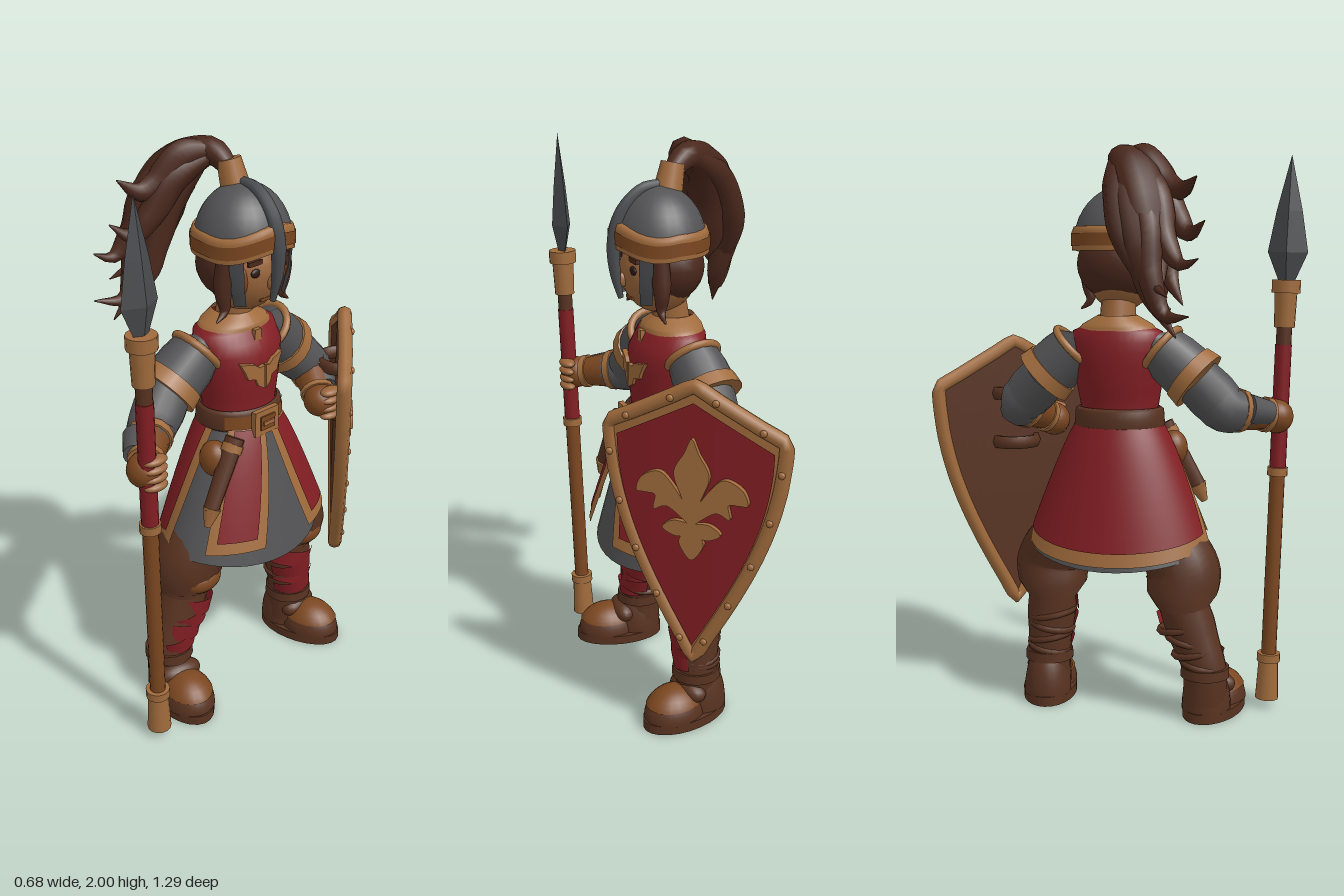
import * as THREE from 'three';

const M = {};
for (const [name, hex] of Object.entries({
  redCloth: 0x821e23, goldTrim: 0xa06b3c, greyCloth: 0x535355, steel: 0x494b4e, hairBrown: 0x4a281c,
  leather: 0x573220, tanLeather: 0x7b4720, skin: 0x9a653a, darkEye: 0x2a1a15,
})) M[name] = Object.assign(new THREE.MeshStandardMaterial({ color: hex, side: THREE.DoubleSide }), { name });

const V = (p) => new THREE.Vector3(...p);
const lerp = THREE.MathUtils.lerp;
const mix = (a, b, t) => a.map((q, i) => lerp(q, b[i], t));
const FULL = Math.PI * 2;

// grid surface from a rule of u and v
function surf(fn, nu, nv) {
  const pos = [], idx = [], w = nu + 1;
  for (let j = 0; j <= nv; j++) for (let i = 0; i <= nu; i++) pos.push(...fn(i / nu, j / nv));
  for (let j = 0; j < nv; j++) for (let i = 0; i < nu; i++) {
    const a = j * w + i;
    idx.push(a, a + 1, a + w + 1, a, a + w + 1, a + w);
  }
  const g = new THREE.BufferGeometry();
  g.setAttribute('position', new THREE.Float32BufferAttribute(pos, 3));
  g.setIndex(idx);
  g.computeVertexNormals();
  return g;
}

export function createModel() {
  const model = new THREE.Group(), body = new THREE.Group();
  body.name = 'guard'; // built facing +z, then turned towards +x
  body.rotation.y = Math.PI / 2;
  model.add(body);

  const add = (name, geo, mat, parent = body, p = [0, 0, 0], s = [1, 1, 1], r = [0, 0, 0]) => {
    const m = new THREE.Mesh(geo, mat);
    m.name = name;
    m.position.set(...p);
    m.scale.set(...s);
    m.rotation.set(...r);
    parent.add(m);
    return m;
  };
  const group = (name, p, r) => {
    const g = new THREE.Group();
    g.name = name;
    g.position.set(...p);
    g.rotation.set(...r);
    body.add(g);
    return g;
  };
  const ball = (name, p, s, mat, parent) => add(name, new THREE.SphereGeometry(1, 20, 14), mat, parent, p, s);
  const box = (name, p, s, mat) => add(name, new THREE.BoxGeometry(...s), mat, body, p);
  // straight round bar between two points
  const rod = (name, a, b, ra, rb, mat, seg = 14) => {
    const d = V(b).sub(V(a));
    add(name, new THREE.CylinderGeometry(rb, ra, d.length(), seg), mat, body, mix(a, b, .5))
      .quaternion.setFromUnitVectors(new THREE.Vector3(0, 1, 0), d.normalize());
  };
  // tube along points whose radius follows a list
  const limb = (name, pts, radii, mat, n = 20, s = 10) => {
    const c = new THREE.CatmullRomCurve3(pts.map(V));
    const g = new THREE.TubeGeometry(c, n, 1, s), P = g.attributes.position, v = new THREE.Vector3();
    for (let q = 0; q < P.count; q++) {
      const t = Math.floor(q / (s + 1)) / n, o = c.getPointAt(t), f = t * (radii.length - 1), k = Math.min(Math.floor(f), radii.length - 2);
      v.fromBufferAttribute(P, q).sub(o).multiplyScalar(lerp(radii[k], radii[k + 1], f - k)).add(o);
      P.setXYZ(q, v.x, v.y, v.z);
    }
    add(name, g, mat);
  };
  // loft of ellipse rows [y, rx, rz, cz] from bottom to top over an angle range
  const loft = (name, rows, mat, a0 = 0, a1 = FULL, wave = () => 0) => add(name, surf((u, v) => {
    const f = v * (rows.length - 1), k = Math.min(Math.floor(f), rows.length - 2);
    const [y, rx, rz, cz] = mix(rows[k], rows[k + 1], f - k), a = lerp(a0, a1, u);
    return [-.02 + rx * Math.sin(a), y + wave(a), cz + rz * Math.cos(a)];
  }, 36, (rows.length - 1) * 2), mat);

  // Torso, collar and belt
  loft('tunicTop', [[1.03, .145, .12, .03], [1.1, .138, .115, .03], [1.2, .155, .128, .025], [1.3, .172, .13, .02], [1.37, .16, .105, .005], [1.405, .08, .08, 0]], M.redCloth);
  loft('collar', [[1.375, .14, .104, .005], [1.393, .125, .1, .005], [1.425, .068, .072, 0]], M.goldTrim);
  box('collarPoint', [-.02, 1.35, .118], [.03, .06, .016], M.goldTrim);
  loft('belt', [[1.03, .15, .128, .03], [1.04, .162, .138, .03], [1.095, .158, .135, .03], [1.105, .145, .12, .03]], M.leather);
  loft('beltFront', [[1.045, .164, .14, .03], [1.09, .161, .138, .03]], M.tanLeather, -1, 1);
  box('buckle', [-.03, 1.062, .172], [.11, .09, .02], M.goldTrim);
  box('buckleInset', [-.03, 1.062, .184], [.065, .05, .008], M.tanLeather);
  box('bucklePin', [-.03, 1.062, .19], [.05, .014, .008], M.goldTrim);
  // winged ornament on the chest
  const wing = new THREE.Shape([[0, -.055], [.025, -.04], [.035, -.015], [.065, -.01], [.075, .015], [.095, .05], [.04, .04], [.02, .025], [0, .03]].map((p) => new THREE.Vector2(...p)));
  for (const s of [1, -1]) add('chestOrnament', new THREE.ExtrudeGeometry(wing, { depth: .018, bevelEnabled: false }), M.goldTrim, body, [-.025, 1.235, .15], [s, 1, 1], [0, s * .2, 0]);

  // Skirt: grey layer and trimmed red panels, longer at the back
  const skirt = (name, mat, [t0, t1, b0, b1], off, flare, u0, u1, v0, v1, drop) => add(name, surf((u, v) => {
    const h = lerp(v0, v1, v), f = Math.pow(1 - Math.min(h, 1), .85), k = lerp(u0, u1, u), o = off + flare * f;
    const a = lerp(lerp(b0, b1, k), lerp(t0, t1, k), h);
    return [-.02 + (.14 + .18 * f + o) * Math.sin(a), .64 + .41 * h - drop(a) * (1 - h), .035 + (.12 + .115 * f + o) * Math.cos(a)];
  }, 40, 10), mat);
  skirt('underSkirt', M.greyCloth, [0, FULL, 0, FULL], -.012, 0, 0, 1, -.1, 1, (a) => .04 * Math.cos(a) ** 2);
  for (const [name, ang, e, fl] of [['frontPanelLeft', [.06, .95, .32, 1.02], .17, .014], ['frontPanelRight', [-.95, -.06, -1.02, -.32], .17, .014], ['backPanel', [1.35, FULL - 1.35, 1.62, FULL - 1.62], .05, 0]]) {
    const drop = (a) => .065 * Math.max(0, -Math.cos(a));
    skirt(name + 'Trim', M.goldTrim, ang, .01, fl, 0, 1, 0, .98, drop);
    skirt(name, M.redCloth, ang, .016, fl, e, 1 - e, .1, .98, drop);
  }

  // Head and helmet
  rod('neck', [-.02, 1.36, 0], [-.02, 1.5, .02], .065, .06, M.skin);
  ball('face', [-.02, 1.585, .05], [.125, .148, .135], M.skin);
  ball('hairBack', [-.02, 1.6, .025], [.15, .13, .125], M.hairBrown);
  ball('nose', [-.02, 1.56, .185], [.016, .025, .02], M.skin);
  box('mouth', [-.02, 1.497, .157], [.05, .01, .008], M.tanLeather);
  for (const s of [-1, 1]) {
    ball('eye', [-.02 + s * .055, 1.6, .168], [.022, .015, .008], M.darkEye);
    box('eyebrow', [-.02 + s * .06, 1.635, .168], [.06, .016, .01], M.hairBrown);
    ball('cheekShade', [-.02 + s * .08, 1.575, .118], [.042, .06, .036], M.tanLeather);
    limb('sideLock', [[-.02 + s * .125, 1.64, .1], [-.02 + s * .135, 1.53, .1], [-.02 + s * .13, 1.47, .1], [-.02 + s * .165, 1.44, .1]], [.03, .034, .022, .003], M.hairBrown, 12, 8);
    loft('cheekGuard', [[1.49, .125, .145, .05], [1.56, .15, .158, .05], [1.68, .165, .165, .05]], M.steel, s * .75, s * 1.05);
  }
  const half = new THREE.SphereGeometry(1, 28, 10, 0, FULL, 0, Math.PI / 2), cap = new THREE.SphereGeometry(1, 20, 6, 0, FULL, 0, 1.1);
  add('helmetDome', half, M.greyCloth, body, [-.02, 1.67, .05], [.168, .195, .158]);
  const brow = (a) => .025 * Math.cos(2 * a) * Math.max(0, Math.cos(a));
  loft('helmetBand', [[1.645, .166, .158, .05], [1.647, .174, .166, .05], [1.71, .174, .166, .05], [1.728, .167, .159, .05], [1.73, .15, .142, .05]], M.goldTrim, 0, FULL, brow);
  loft('helmetBandInlay', [[1.662, .177, .169, .05], [1.705, .177, .169, .05]], M.tanLeather, 0, FULL, brow);
  limb('noseGuard', [[-.02, 1.862, .02], [-.02, 1.852, .11], [-.02, 1.78, .185], [-.02, 1.68, .212], [-.02, 1.58, .208], [-.02, 1.5, .19]], [.02, .022, .024, .026, .02, .01], M.steel, 24, 8);

  // Plume of hair
  rod('plumeHolder', [-.02, 1.83, .02], [-.03, 1.93, -.005], .05, .04, M.goldTrim);
  limb('plumeBase', [[-.03, 1.9, 0], [-.05, 1.945, -.06], [-.1, 1.915, -.13], [-.15, 1.82, -.19], [-.19, 1.68, -.22], [-.24, 1.54, -.25]], [.03, .055, .09, .095, .075, .012], M.hairBrown, 28, 12);
  for (const p of [
    [[-.05, 1.95, -.06], [-.15, 1.94, -.1], [-.23, 1.86, -.13], [-.28, 1.84, -.15], [-.34, 1.88, -.19]],
    [[-.06, 1.94, -.06], [-.18, 1.88, -.1], [-.26, 1.76, -.13], [-.31, 1.7, -.16], [-.37, 1.74, -.2]],
    [[-.1, 1.93, -.12], [-.21, 1.82, -.2], [-.25, 1.68, -.24], [-.31, 1.6, -.27], [-.37, 1.62, -.29]],
    [[-.1, 1.9, -.16], [-.19, 1.74, -.25], [-.21, 1.57, -.28], [-.26, 1.44, -.28], [-.35, 1.44, -.33]],
    [[-.06, 1.94, -.12], [-.12, 1.82, -.23], [-.17, 1.66, -.28], [-.21, 1.5, -.26], [-.3, 1.37, -.29]],
    [[-.04, 1.95, -.08], [-.08, 1.86, -.2], [-.12, 1.7, -.27], [-.2, 1.56, -.28], [-.28, 1.5, -.33]],
    [[-.08, 1.92, -.08], [-.17, 1.8, -.13], [-.22, 1.66, -.15], [-.25, 1.55, -.16], [-.3, 1.47, -.2]],
  ]) limb('plumeStrand', p, [.025, .052, .05, .036, .002], M.hairBrown, 22, 8);

  // Arms: sleeve, cuff, elbow, bracer and glove
  for (const [side, sh, cu, el, ha, out] of [
    ['right', [-.15, 1.335, 0], [-.305, 1.21, -.01], [-.4, 1.11, .015], [-.555, 1.07, .165], [-.024, .01, -.024]],
    ['left', [.11, 1.335, 0], [.24, 1.21, -.015], [.35, 1.1, .015], [.27, 1.03, .15], [.03, .01, .01]]]) {
    const at = (t) => mix(el, ha, t);
    limb(side + 'Sleeve', [sh, mix(sh, cu, .5), cu], [.04, .09, .098, .1, .098], M.greyCloth, 16, 16);
    rod(side + 'Cuff', mix(sh, cu, .8), mix(sh, cu, 1.06), .106, .114, M.goldTrim, 18);
    limb(side + 'Elbow', [cu, mix(cu, el, .7), el, at(.4)], [.085, .09, .082, .065], M.greyCloth, 14, 14);
    rod(side + 'Bracer', at(.3), at(.82), .068, .052, M.tanLeather);
    rod(side + 'BracerTop', at(.22), at(.34), .078, .074, M.goldTrim);
    rod(side + 'BracerEnd', at(.73), at(.84), .062, .062, M.goldTrim);
    const [p, q] = [at(.32), at(.75)].map((c) => c.map((v, i) => v + out[i]));
    rod(side + 'BracerPlate', p, q, .055, .042, M.greyCloth);
    ball(side + 'Glove', ha, [.06, .06, .06], M.tanLeather);
    for (let i = 0; i < 4; i++) ball(side + 'Finger', [ha[0] + .01, ha[1] + .045 - i * .03, ha[2] + .04], [.045, .017, .028], M.skin);
    add(side + 'ArmholeTrim', new THREE.TorusGeometry(.088, .014, 8, 24), M.goldTrim, body, mix(sh, cu, .2))
      .quaternion.setFromUnitVectors(new THREE.Vector3(0, 0, 1), V(cu).sub(V(sh)).normalize());
  }

  // Legs: puffed breeches, wrapped shins and boots
  for (const [side, s, kx, ax, z] of [['right', -1, -.26, -.345, 0], ['left', 1, .235, .25, .03]]) {
    limb(side + 'Breeches', [[s * .12, .74, .02], [lerp(s * .12, kx, .6), .63, .02], [kx, .53, z + .01], [kx, .45, z], [kx, .385, z]], [.1, .1, .102, .125, .134, .125, .08], M.leather, 24, 16);
    ball(side + 'KneePatch', [kx, .485, z + .08], [.085, .055, .066], M.tanLeather);
    limb(side + 'Shin', [[kx, .42, z], [lerp(kx, ax, .5), .3, z], [ax, .17, z], [ax, .06, z]], [.086, .09, .08, .078, .08], M.leather, 18, 16);
    for (let i = 0; i < 4; i++) { // red bindings on the front, folds behind
      const t = i / 3, x = lerp(kx, ax, t * .85), y = .355 - t * .13, lean = i % 2 ? .2 : -.2;
      add(side + 'ShinWrap', new THREE.CylinderGeometry(.096 - t * .01, .09 - t * .01, .062, 14, 1, true, s > 0 ? -1.5 : -.9, 2.3), M.redCloth, body, [x, y, z + .002], [1, 1, 1], [0, 0, lean]);
      add(side + 'BootFold', new THREE.TorusGeometry(.08 - t * .008, .012, 6, 20), M.leather, body, [x, y - .025, z - .004], [1, 1, 1], [Math.PI / 2, lean, 0]);
    }
    const foot = group(side + 'Boot', [ax, 0, 0], [0, s * .2, 0]);
    add('sole', new THREE.CylinderGeometry(1, 1, .035, 24), M.leather, foot, [0, .0175, .085], [.098, 1, .17]);
    add('toe', half, M.leather, foot, [0, .03, .13], [.094, .105, .118]);
    add('toePatch', cap, M.tanLeather, foot, [0, .033, .132], [.097, .107, .121]);
    add('heel', half, M.leather, foot, [0, .03, .015], [.086, .19, .095]);
    ball('bootStrap', [0, .11, .07], [.086, .045, .05], M.leather, foot);
    rod(side + 'AnkleBand', [ax, .155, z], [ax, .19, z], .088, .086, M.leather, 16);
  }

  // Sheathed dagger and pouch at the hip
  rod('sheath', [-.15, 1.03, .15], [-.28, .8, .165], .035, .028, M.leather, 8);
  rod('sheathTop', [-.16, 1.01, .152], [-.175, .985, .154], .039, .038, M.goldTrim, 8);
  rod('sheathTip', [-.272, .81, .165], [-.3, .75, .17], .034, .012, M.goldTrim, 8);
  ball('pouch', [-.2, .95, .1], [.05, .065, .055], M.tanLeather);

  // Spear, sized by height along its shaft
  const at = (y) => mix([-.54, .03, .17], [-.585, 1.97, .207], (y - .03) / 1.94);
  for (const [n, a, b, r0, r1, m] of [
    ['spearFoot', .03, .2, .042, .034, M.goldTrim], ['spearFootRing', .17, .2, .042, .042, M.goldTrim], ['spearShaft', .19, .88, .027, .027, M.tanLeather],
    ['shaftRing', .855, .885, .036, .036, M.goldTrim], ['spearGrip', .88, 1.32, .029, .029, M.redCloth], ['spearNeck', 1.31, 1.4, .027, .027, M.leather],
    ['spearSocket', 1.38, 1.52, .036, .04, M.goldTrim], ['socketRing', 1.5, 1.545, .05, .05, M.goldTrim]]) rod(n, at(a), at(b), r0, r1, m);
  const blade = new THREE.LatheGeometry([[.028, 0], [.07, .1], [.045, .24], [0, .43]].map((p) => new THREE.Vector2(...p)), 4).toNonIndexed();
  blade.computeVertexNormals();
  add('spearBlade', blade, M.steel, body, at(1.54), [1, 1, .5], [0, 0, .023]);

  // Shield, slightly curved, turned outwards
  const shield = group('shield', [.42, .83, .125], [0, Math.PI / 4, 0]);
  const sp = (u, v, k, z) => {
    const x = .305 * Math.sin(v * Math.PI / 2) * u * k;
    return [x, (-.5 + .84 * v + .16 * v ** 6 * (1 - Math.abs(u))) * k, z - .12 * x * x - .005];
  };
  for (const [name, k, z, mat] of [['shieldBack', .98, -.018, M.leather], ['shieldFrame', .98, .012, M.goldTrim], ['shieldField', .87, .017, M.redCloth]])
    add(name, surf((u, v) => sp(u * 2 - 1, v, k, z), 20, 20), mat, shield);
  const edge = [];
  for (let i = 0; i <= 10; i++) edge.push(sp(1, i / 10, .97, 0));
  for (let i = 1; i <= 7; i++) edge.push(sp(1 - i / 4, 1, .97, 0));
  for (let i = 10; i >= 1; i--) edge.push(sp(-1, i / 10, .97, 0));
  const rim = new THREE.CatmullRomCurve3(edge.map(V), true, 'catmullrom', .2);
  add('shieldRim', new THREE.TubeGeometry(rim, 90, .026, 8, true), M.goldTrim, shield);
  for (let i = 0; i < 14; i++) {
    const p = rim.getPointAt((i + .5) / 14);
    ball('rivet', [p.x, p.y, p.z + .025], [.012, .012, .008], M.goldTrim, shield);
  }
  // leaf ornament: a mid leaf, curled side leaves and a lower bud
  const leaf = (name, pts, s = 1) => {
    const sh = new THREE.Shape().moveTo(...pts[0]).splineThru(pts.slice(1).map((p) => new THREE.Vector2(...p)));
    add(name, new THREE.ExtrudeGeometry(sh, { depth: .022, bevelEnabled: false, curveSegments: 20 }), M.goldTrim, shield, [0, .07, .006], [s, 1, 1]);
  };
  leaf('midLeaf', [[0, -.03], [.035, .05], [.06, .13], [.025, .2], [0, .25], [-.025, .2], [-.06, .13], [-.035, .05], [0, -.03]]);
  for (const s of [1, -1]) {
    leaf('sideLeaf', [[0, -.01], [.06, .08], [.11, .125], [.17, .1], [.19, .05], [.16, .045], [.125, .04], [.13, -.01], [.08, .005], [0, -.055]], s);
    leaf('lowerLeaf', [[0, -.045], [.06, -.04], [.1, -.07], [.055, -.095], [0, -.085]], s);
  }
  leaf('bud', [[0, -.03], [.035, -.09], [.04, -.125], [0, -.175], [-.04, -.125], [-.035, -.09], [0, -.03]]);
  // straps behind the shield
  for (const y of [.12, .3]) add('shieldStrap', new THREE.TorusGeometry(.08, .016, 6, 16, Math.PI), M.leather, shield, [0, y, -.01], [1, 1, 1.6], [-Math.PI / 2, 0, 0]);
  return model;
}
